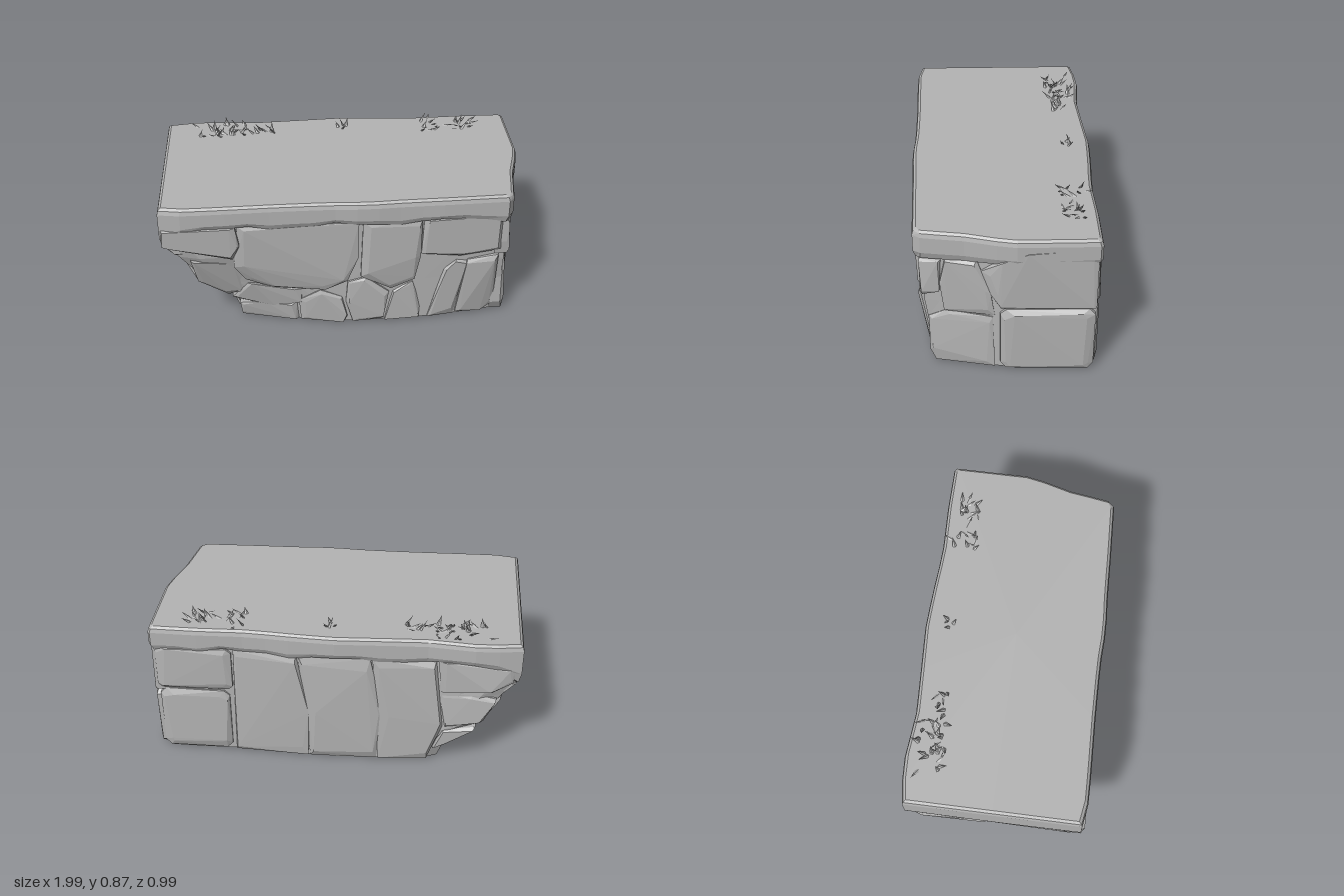
import * as THREE from 'three';
import { mergeGeometries } from 'three/addons/utils/BufferGeometryUtils.js';
import { ConvexGeometry } from 'three/addons/geometries/ConvexGeometry.js';

const V = (x, y, z) => new THREE.Vector3(x, y, z);
const clamp01 = (t) => THREE.MathUtils.clamp(t, 0, 1);

// Small seeded random
let seed = 7;
const rnd = () => {
  seed = (seed * 16807) % 2147483647;
  return seed / 2147483647;
};
const jit = (a) => (rnd() - 0.5) * 2 * a;

// Piecewise linear lookup in [key, value] pairs with rising keys
function lookup(table, k) {
  if (k <= table[0][0]) return table[0][1];
  for (let i = 1; i < table.length; i++) {
    const [k0, v0] = table[i - 1], [k1, v1] = table[i];
    if (k <= k1) return v0 + ((v1 - v0) * (k - k0)) / (k1 - k0);
  }
  return table[table.length - 1][1];
}

// Overhanging left end: height -> x; slanted right end: z -> x; rim front and back: x -> z
const leftEnd = [[0, -0.6], [0.14, -0.65], [0.27, -0.83], [0.38, -0.87], [0.47, -0.93], [0.56, -1], [0.8, -1]];
const rightEnd = [[-0.5, 0.985], [-0.06, 0.985], [0.04, 0.965], [0.2, 0.92], [0.33, 0.9], [0.42, 0.885], [0.46, 0.855]];
const frontRim = [[-1, 0.484], [-0.85, 0.492], [-0.6, 0.486], [-0.4, 0.48], [-0.1, 0.477], [0.1, 0.488], [0.3, 0.476], [0.55, 0.47], [0.86, 0.458]];
const backRim = [[-1, -0.48], [-0.75, -0.494], [-0.5, -0.472], [-0.25, -0.485], [0, -0.499], [0.2, -0.49], [0.45, -0.472], [0.75, -0.483], [1, -0.48]];

// How far the foot of the front wall draws back towards its ends
const footRecess = (x, y) =>
  0.11 * clamp01((-0.1 - x) / 0.5) * clamp01(1 - y / 0.48) + 0.045 * clamp01((x - 0.5) / 0.3) * clamp01(1 - y / 0.4);

// Closed plan outline at height y, inset from the rim: front edge first, then right, back and left
function plan(y, left, front, back, inset, cut = 0) {
  const pts = [], N = 16;
  const f = (x) => lookup(frontRim, x) - front - footRecess(x, y);
  const b = (x) => lookup(backRim, x) + back;
  const r = 0.855 - inset;
  for (let i = 0; i < N; i++) {
    const x = left + ((r - left) * i) / N;
    pts.push([x, f(x) - (i === 0 ? cut : 0), 'front']);
  }
  pts.push([r, f(r), 'right']);
  for (const z of [0.42, 0.33, 0.2, 0.04, -0.06, -0.25])
    pts.push([lookup(rightEnd, z) - inset, Math.min(z, f(r) - 0.005 + z * 0.01), 'right']);
  const r2 = 0.985 - inset;
  pts.push([r2, b(r2) + cut, 'back']);
  for (let i = 0; i < N; i++) {
    const x = r2 - cut + ((left - r2 + cut) * i) / N;
    pts.push([x, b(x) - (i === 0 ? 0.001 : 0), 'back']);
  }
  for (let i = 0; i < 6; i++) {
    const t = i / 6;
    pts.push([left, (b(left) + cut) * (1 - t) + (f(left) - cut) * t, 'left']);
  }
  return pts;
}

// Faceted skin through rings of points, closed at both ends
function loft(rings) {
  const tri = [], n = rings[0].length;
  const mid = (r) => r.reduce((s, p) => s.add(p), V(0, 0, 0)).divideScalar(n);
  const lo = mid(rings[0]), top = rings[rings.length - 1], hi = mid(top);
  for (let i = 0; i < n; i++) {
    const j = (i + 1) % n;
    for (let k = 0; k + 1 < rings.length; k++) {
      const a = rings[k], b = rings[k + 1];
      tri.push(a[i], a[j], b[j], a[i], b[j], b[i]);
    }
    tri.push(lo, rings[0][j], rings[0][i], hi, top[i], top[j]);
  }
  const g = new THREE.BufferGeometry().setFromPoints(tri);
  g.computeVertexNormals();
  return g;
}

// Chipped stone on a wall: outline in wall coordinates, standing out by depth
function stone(wall, pts, depth) {
  const cu = pts.reduce((s, p) => s + p[0], 0) / pts.length;
  const cv = pts.reduce((s, p) => s + p[1], 0) / pts.length;
  const out = [];
  const scaled = (p, k) => [cu + (p[0] - cu) * k, cv + (p[1] - cv) * k];
  for (const p of pts) {
    const a = scaled(p, 0.995), b = scaled(p, 0.8 + rnd() * 0.12);
    out.push(wall(a[0], a[1], -0.05));
    out.push(wall(a[0], a[1], depth - 0.013 + jit(0.006)));
    out.push(wall(b[0] + jit(0.015), b[1] + jit(0.015), depth + jit(0.006)));
  }
  return new ConvexGeometry(out);
}

const box = (u0, u1, v0, v1, c = 0.025) =>
  [[u0 + c, v0], [u1 - c, v0], [u1, v0 + c], [u1, v1 - c], [u1 - c, v1], [u0 + c, v1], [u0, v1 - c], [u0, v0 + c]];

const walls = {
  front: (u, v, d) => V(u, v, lookup(frontRim, u) - 0.066 + 0.03 * v - footRecess(u, v) + d),
  back: (u, v, d) => V(u, v, lookup(backRim, u) + 0.031 - d),
  right: (u, v, d) => V(lookup(rightEnd, u) - 0.03 + d, v, u),
  left: (u, v, d) => V(lookup(leftEnd, v) + 0.035 - d, v, u),
};

// Stones on each wall: [outline, depth]
const stones = {
  front: [
    [[[-0.99, 0.57], [-0.62, 0.47], [-0.58, 0.56], [-0.6, 0.68], [-0.99, 0.68]], 0.045],
    [[[-0.85, 0.45], [-0.82, 0.28], [-0.66, 0.16], [-0.56, 0.2], [-0.6, 0.42]], 0.012],
    [[[-0.62, 0.4], [-0.56, 0.3], [-0.42, 0.24], [-0.12, 0.23], [0, 0.29], [0.06, 0.45], [0.06, 0.68], [-0.59, 0.68]], 0.034],
    [[[-0.64, 0.14], [-0.55, 0.26], [-0.4, 0.23], [-0.25, 0.22], [-0.25, 0.13], [-0.4, 0.1]], 0.02],
    [[[-0.59, 0], [-0.6, 0.09], [-0.45, 0.12], [-0.28, 0.12], [-0.27, 0]], 0.02],
    [[[-0.26, 0], [-0.27, 0.14], [-0.15, 0.22], [-0.03, 0.17], [0, 0.04], [-0.02, 0]], 0.025],
    [[[0.03, 0], [-0.01, 0.14], [0, 0.28], [0.1, 0.31], [0.23, 0.2], [0.2, 0.02]], 0.03],
    [[[0.07, 0.32], [0.24, 0.22], [0.37, 0.28], [0.4, 0.44], [0.4, 0.68], [0.08, 0.68]], 0.034],
    [[[0.21, 0], [0.25, 0.2], [0.36, 0.26], [0.41, 0.1], [0.4, 0]], 0.02],
    [[[0.4, 0.45], [0.62, 0.42], [0.84, 0.45], [0.84, 0.68], [0.41, 0.68]], 0.03],
    [[[0.45, 0], [0.53, 0.33], [0.6, 0.39], [0.66, 0.38], [0.6, 0]], 0.022],
    [[[0.61, 0.02], [0.66, 0.39], [0.83, 0.42], [0.83, 0.05], [0.75, 0]], 0.034],
  ],
  right: [
    [box(-0.46, 0.025, 0.005, 0.385, 0.03), 0.034],
    [[[-0.465, 0.395], [0.02, 0.39], [0.07, 0.46], [0.12, 0.6], [0.02, 0.68], [-0.12, 0.74], [-0.465, 0.76]], 0.034],
    [[[0.05, 0], [0.06, 0.32], [0.3, 0.33], [0.39, 0.28], [0.39, 0.06], [0.36, 0]], 0.026],
    [[[0.05, 0.33], [0.31, 0.33], [0.33, 0.5], [0.3, 0.65], [0.14, 0.66], [0.07, 0.47]], 0.028],
    [[[0.34, 0.45], [0.42, 0.42], [0.43, 0.5], [0.43, 0.64], [0.32, 0.64]], 0.03],
  ],
  back: [
    [box(0.57, 0.955, 0.01, 0.405, 0.03), 0.03],
    [box(0.55, 0.965, 0.415, 0.68), 0.028],
    [[[0.14, 0], [0.55, 0], [0.54, 0.68], [0.2, 0.68], [0.12, 0.3]], 0.027],
    [[[-0.24, 0], [0.13, 0], [0.11, 0.3], [0.19, 0.68], [-0.2, 0.68], [-0.28, 0.3]], 0.027],
    [[[-0.52, 0.01], [-0.25, 0], [-0.29, 0.3], [-0.21, 0.68], [-0.55, 0.68], [-0.6, 0.25]], 0.024],
    [[[-0.96, 0.57], [-0.85, 0.5], [-0.58, 0.48], [-0.56, 0.68], [-0.97, 0.68]], 0.025],
    [[[-0.88, 0.45], [-0.82, 0.3], [-0.61, 0.24], [-0.57, 0.47], [-0.75, 0.48]], 0.014],
    [[[-0.78, 0.26], [-0.63, 0.13], [-0.55, 0.08], [-0.6, 0.22]], 0.014],
  ],
  left: [
    [box(-0.44, -0.01, 0.47, 0.57), 0.03],
    [box(0, 0.43, 0.47, 0.56), 0.034],
    [box(-0.43, -0.14, 0.28, 0.46), 0.03],
    [box(-0.13, 0.2, 0.28, 0.47), 0.034],
    [box(0.21, 0.38, 0.28, 0.45), 0.028],
    [box(-0.4, 0.03, 0.14, 0.275), 0.033],
    [box(0.04, 0.32, 0.15, 0.275), 0.028],
    [box(-0.38, -0.05, 0, 0.14), 0.03],
    [box(-0.04, 0.28, 0, 0.145), 0.03],
  ],
};

// Pointed blades: [x, z, spread x, spread z, count]
const tufts = [[-0.68, -0.36, 0.14, 0.07, 30], [-0.44, -0.345, 0.07, 0.03, 8], [0.03, -0.36, 0.03, 0.03, 4], [0.63, -0.365, 0.15, 0.07, 24]];

function tuftGeometry([cx, cz, sx, sz, count]) {
  const blades = [];
  for (let i = 0; i < count; i++) {
    const h = 0.045 + rnd() * 0.03;
    const g = new THREE.ConeGeometry(0.014, h, 4, 1).toNonIndexed();
    g.scale(1, 1, 0.45).translate(0, h / 2 - 0.006, 0);
    g.rotateX(0.45 + rnd() * 0.85).rotateY(rnd() * Math.PI * 2);
    g.translate(cx + jit(sx), 0.805, cz + jit(sz));
    g.computeVertexNormals();
    blades.push(g);
  }
  return mergeGeometries(blades);
}

export function createModel() {
  seed = 7;
  const group = new THREE.Group();
  const rock = new THREE.MeshStandardMaterial({ color: 0xb4b4b4 });
  rock.name = 'grey rock';
  const add = (name, geometry) => {
    const mesh = new THREE.Mesh(geometry, rock);
    mesh.name = name;
    group.add(mesh);
  };

  // Solid core behind the stones
  add('rockCore', loft([0, 0.14, 0.27, 0.38, 0.47, 0.56, 0.7].map((y) =>
    plan(y, lookup(leftEnd, y) + 0.022, 0.058 - 0.03 * y, 0.024, 0.022, 0.05 * (1 - y)).map(([x, z]) => V(x, y, z)))));

  // Overhanging top slab with a wavy lower lip
  const lip = { front: 0, back: 0, right: -0.02, left: -0.1 };
  const slab = [[0.67, 0.05, 1], [0.672, 0.012, 1], [0.7, 0, 0.7], [0.775, 0, 0], [0.797, 0.006, 0], [0.808, 0.02, 0]];
  add('topSlab', loft(slab.map(([y, s, wave]) =>
    plan(y, -0.997 + s, s, s, s - 0.004, 0.012).map(([x, z, side], i) =>
      V(x, y + wave * (0.011 * Math.sin(11 * x + 2) + 0.009 * Math.sin(27 * x + 5 * z) + (i === 0 ? -0.1 : lip[side])), z)))));

  for (const [side, list] of Object.entries(stones))
    list.forEach(([pts, depth], i) => add(`${side}Stone${i + 1}`, stone(walls[side], pts, depth)));

  tufts.forEach((t, i) => add(`grassTuft${i + 1}`, tuftGeometry(t)));
  return group;
}
